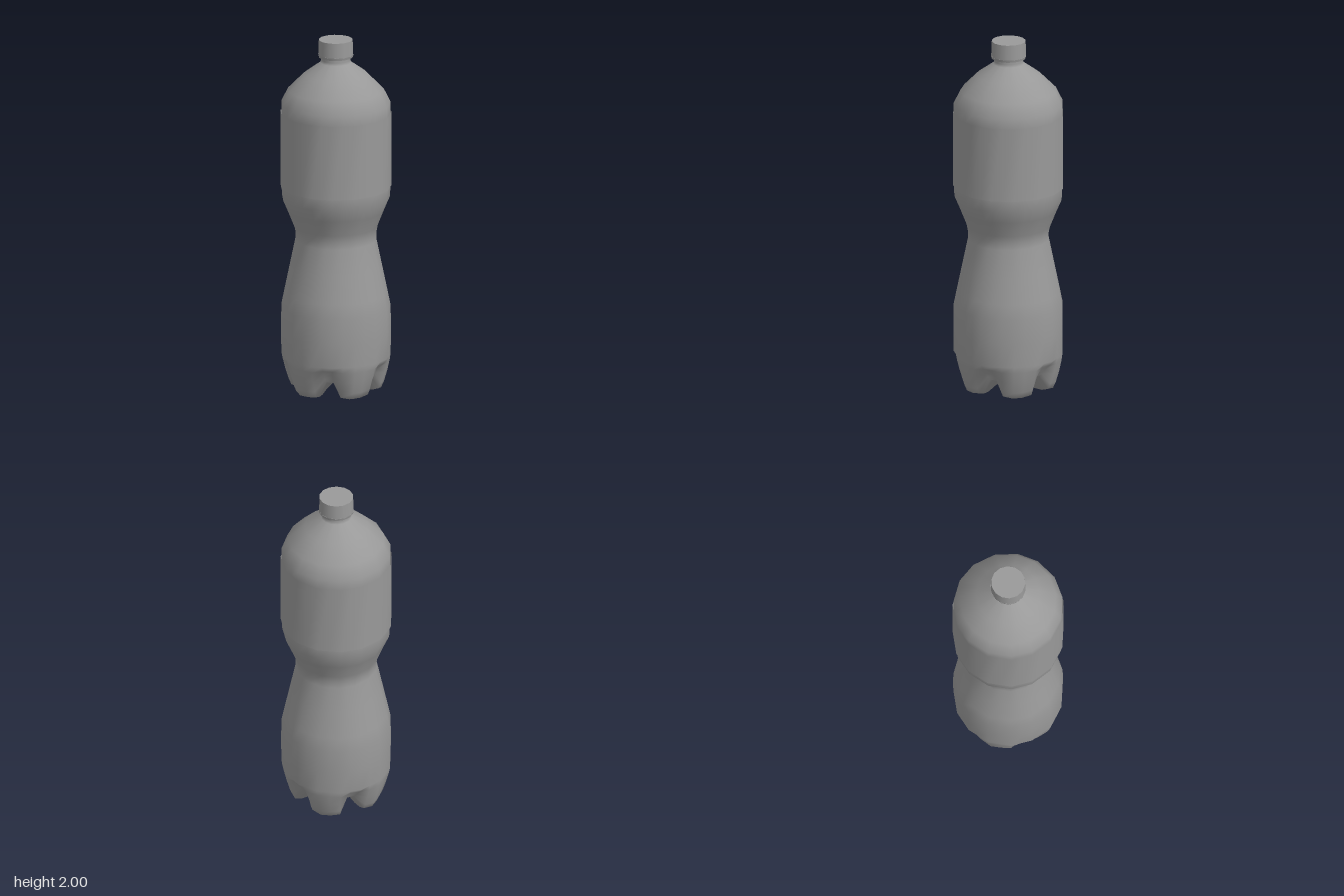
import * as THREE from 'three';

const RAD = Math.PI / 180;
const PHASE = 47;                       // angle of the first outline corner
const CORNERS = [0, 22.5, 47.5, 72];    // outline corners of one of five petals
// columns of one petal: [angle, groove depth 0..1]
const COLUMNS = [[0, 0.95], [11.5, 0.95], [22.5, 0.1], [35, 0], [47.5, 0], [60.5, 0.1]];

// 15-sided outline: distance factor along the straight edge between two corners
function edgeFactor(a) {
  const k = a < CORNERS[1] ? 0 : a < CORNERS[2] ? 1 : 2;
  const half = (CORNERS[k + 1] - CORNERS[k]) / 2;
  return Math.cos(half * RAD) / Math.cos((a - CORNERS[k] - half) * RAD);
}

// Skin through rings [footRadius, footY, grooveRadius, grooveY], bottom to top
function skin(rings) {
  const pos = [], index = [];
  const n = COLUMNS.length * 5;
  for (const [r0, y0, r1 = r0, y1 = y0] of rings) {
    for (let j = 0; j < n; j++) {
      const [a, depth] = COLUMNS[j % COLUMNS.length];
      const angle = (PHASE + 72 * Math.floor(j / COLUMNS.length) + a) * RAD;
      const r = (r0 + (r1 - r0) * depth) * edgeFactor(a);
      pos.push(r * Math.cos(angle), y0 + (y1 - y0) * depth, r * Math.sin(angle));
    }
  }
  for (let i = 0; i < rings.length - 1; i++) {
    for (let j = 0; j < n; j++) {
      const a = i * n + j, b = i * n + (j + 1) % n;
      index.push(a, a + n, b, b, a + n, b + n);
    }
  }
  const g = new THREE.BufferGeometry();
  g.setAttribute('position', new THREE.Float32BufferAttribute(pos, 3));
  g.setIndex(index);
  g.computeVertexNormals();
  return g;
}

export function createModel() {
  const group = new THREE.Group();
  group.name = 'bottle';
  const material = new THREE.MeshStandardMaterial({ color: 0x999999 });
  const add = (name, geometry, y = 0, mat = material) => {
    const mesh = new THREE.Mesh(geometry, mat);
    mesh.name = name;
    mesh.position.set(-0.001, y, -0.001);
    group.add(mesh);
  };

  // Body: five-footed base, waist, straight label zone, shoulder and neck
  add('body', skin([
    [0.001, 0.055],
    [0.11, 0.03, 0.09, 0.065],
    [0.165, 0.006, 0.14, 0.08],
    [0.21, 0, 0.18, 0.092],
    [0.25, 0.011, 0.207, 0.104],
    [0.265, 0.045, 0.226, 0.122],
    [0.284, 0.11, 0.25, 0.148],
    [0.297, 0.17, 0.28, 0.178],
    [0.302, 0.205],
    [0.304, 0.34], [0.302, 0.48], [0.286, 0.56], [0.255, 0.71],
    [0.224, 0.86], [0.224, 0.9], [0.232, 0.94], [0.268, 1.03],
    [0.298, 1.1], [0.302, 1.17], [0.302, 1.58], [0.302, 1.64],
    [0.265, 1.715], [0.177, 1.804],
    [0.085, 1.87], [0.08, 1.885], [0.08, 1.93],
  ]));

  // Label: thin sleeve just outside the body
  const sleeve = material.clone();
  sleeve.side = THREE.DoubleSide;
  add('label', skin([[0.307, 1.165], [0.307, 1.585]]), 0, sleeve);

  // Cap with its tamper ring
  add('cap', new THREE.CylinderGeometry(0.094, 0.097, 0.084, 14), 1.958);
  add('capRing', new THREE.CylinderGeometry(0.098, 0.095, 0.014, 14), 1.909);
  return group;
}
